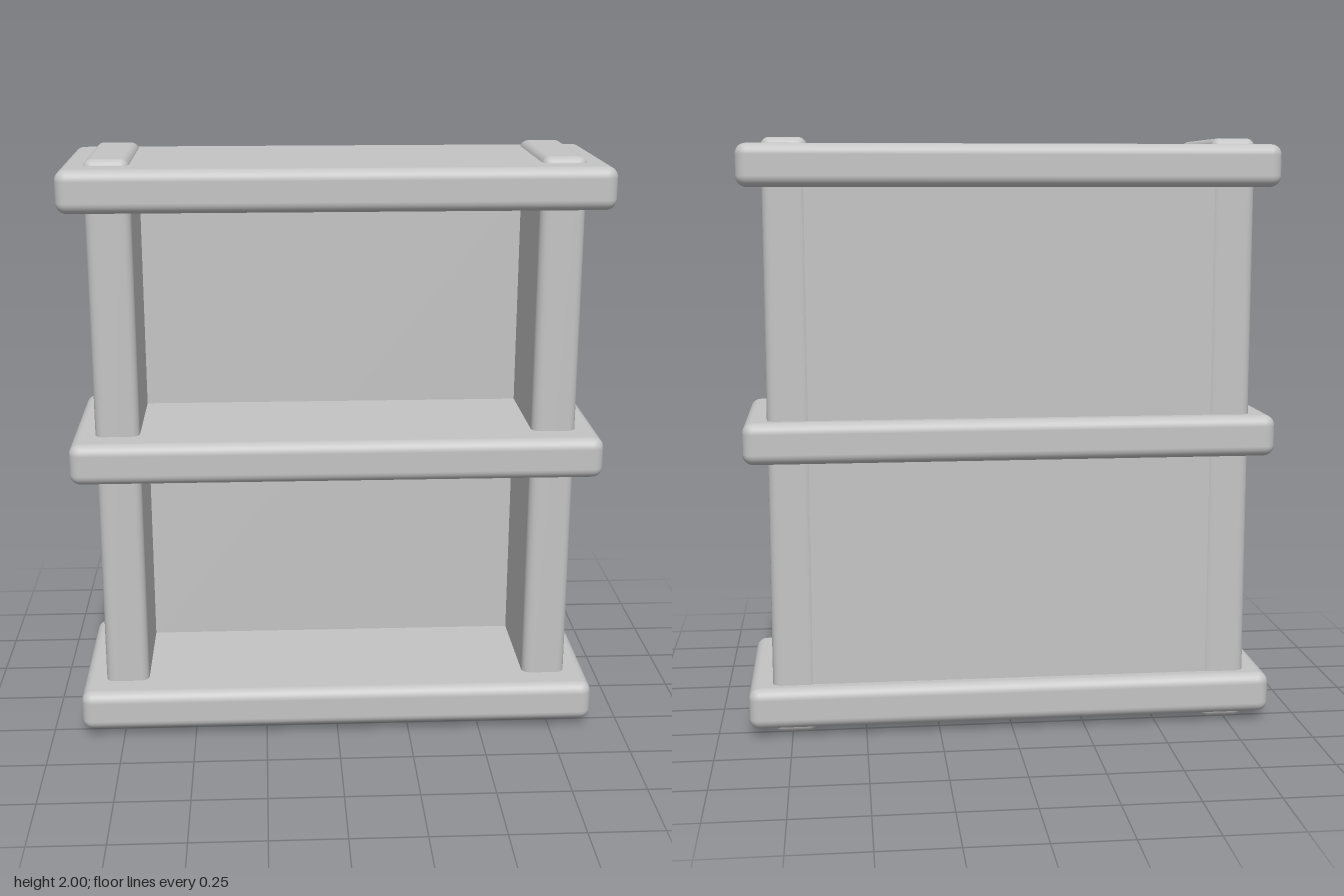
import * as THREE from 'three';
import { RoundedBoxGeometry } from 'three/addons/geometries/RoundedBoxGeometry.js';

export function createModel() {
  const model = new THREE.Group();
  model.name = 'shelfUnit';
  const grey = new THREE.MeshStandardMaterial({ color: 0xc4c4c4 });
  grey.name = 'light grey';

  // soft-edged board: size, centre, edge radius
  const board = (name, [w, h, d], [x, y, z], radius) => {
    const mesh = new THREE.Mesh(new RoundedBoxGeometry(w, h, d, 4, radius), grey);
    mesh.name = name;
    mesh.position.set(x, y, z);
    model.add(mesh);
  };

  // three overhanging shelves
  ['bottomShelf', 'middleShelf', 'topShelf'].forEach((name, i) =>
    board(name, [1.79, 0.14, 0.655], [0, 0.1 + i * 0.905, 0], 0.036));

  // side uprights, poking slightly through the top and bottom shelves
  for (const side of [-1, 1]) {
    board(side > 0 ? 'leftUpright' : 'rightUpright',
      [0.15, 2, 0.495], [side * 0.74, 1, -0.027], 0.03);
  }

  // back panel, nearly flush with the rear of the uprights
  const panel = new THREE.Mesh(new THREE.BoxGeometry(1.42, 1.8, 0.09), grey);
  panel.name = 'backPanel';
  panel.position.set(0, 1, -0.225);
  model.add(panel);

  return model;
}
